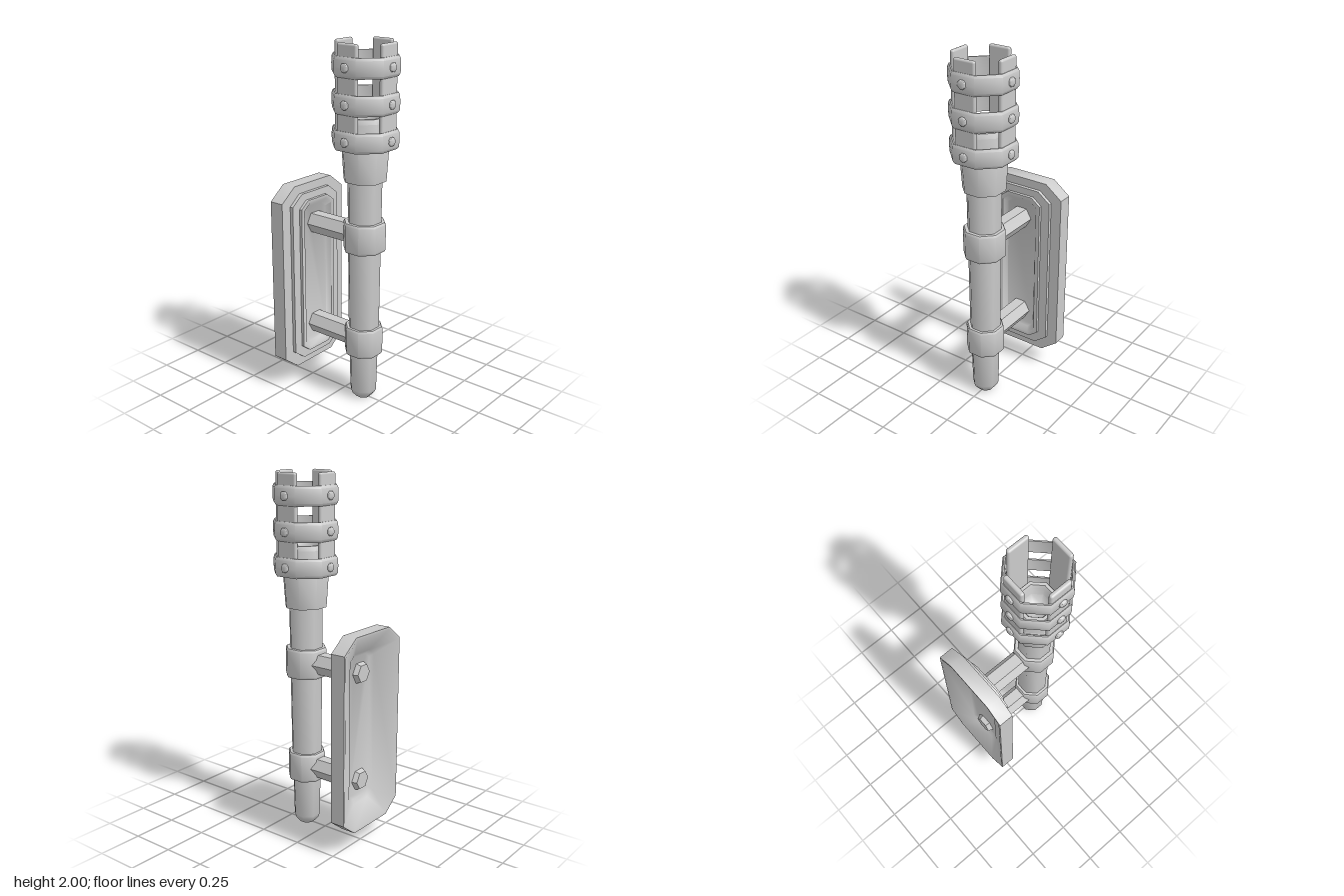
import * as THREE from 'three';
import { toCreasedNormals } from 'three/addons/utils/BufferGeometryUtils.js';
import { RoundedBoxGeometry } from 'three/addons/geometries/RoundedBoxGeometry.js';

const material = new THREE.MeshStandardMaterial({ color: 0xcccccc, roughness: 0.8 });
const AXIS_Z = 0.134; // torch axis
const PLATE_Y = 0.66; // centre height of the wall plate

function part(name, geometry, parent) {
  const mesh = new THREE.Mesh(geometry, material);
  mesh.name = name;
  parent.add(mesh);
  return mesh;
}

// Lathe with flats facing the axes; radii are measured to the flats.
function facetedLathe(profile, sides = 8) {
  const k = 1 / Math.cos(Math.PI / sides);
  const points = profile.map(([r, y]) => new THREE.Vector2(r * k, y));
  return toCreasedNormals(new THREE.LatheGeometry(points, sides, Math.PI / sides), 0.85);
}

// Skin through chamfered rectangles [halfWidth, halfHeight, z], capped at both ends.
function loftChamferedRects(sections) {
  const positions = [], index = [], n = 8;
  for (const [w, h, z] of sections) {
    const a = w * 0.6, b = h - w * 0.31;
    const ring = [[w, -b], [w, b], [a, h], [-a, h], [-w, b], [-w, -b], [-a, -h], [a, -h]];
    for (const [x, y] of ring) positions.push(x, y, z);
  }
  for (let s = 0; s < sections.length - 1; s++) {
    for (let i = 0; i < n; i++) {
      const p = s * n + i, q = s * n + (i + 1) % n;
      index.push(p, q, q + n, p, q + n, p + n);
    }
  }
  const last = (sections.length - 1) * n;
  for (let i = 1; i < n - 1; i++) {
    index.push(0, i + 1, i, last, last + i, last + i + 1);
  }
  const geometry = new THREE.BufferGeometry();
  geometry.setAttribute('position', new THREE.Float32BufferAttribute(positions, 3));
  geometry.setIndex(index);
  return toCreasedNormals(geometry, 0.85);
}

function createTorch() {
  const torch = new THREE.Group();
  torch.name = 'torch';
  torch.position.z = AXIS_Z;

  part('handle', facetedLathe([
    [0, 0], [0.04, 0], [0.064, 0.03], [0.07, 0.05], [0.075, 0.28], [0.08, 0.44], [0.088, 1.3],
  ]), torch);

  // Cup with a hollow, rounded mouth
  part('cup', facetedLathe([
    [0, 1.28], [0.108, 1.28], [0.119, 1.46], [0.11, 1.48], [0.11, 1.595], [0.1, 1.62],
    [0.084, 1.62], [0.075, 1.6], [0.072, 1.54], [0.045, 1.5], [0, 1.49],
  ]), torch);

  // Cage rings; the lowest one closes in against the cup
  [1.51, 1.698, 1.883].forEach((y, level) => {
    const inner = level === 0 ? 0.108 : 0.15;
    const ring = part('cageRing', facetedLathe([
      [inner, -0.052], [0.157, -0.052], [0.166, -0.038], [0.168, 0], [0.166, 0.038], [0.159, 0.052],
      [0.152, 0.052], [0.15, -0.03], [inner, -0.04], [inner, -0.052],
    ]), torch);
    ring.position.y = y;
  });

  // Four upright slats, each riveted to every ring
  for (let i = 0; i < 4; i++) {
    const side = new THREE.Group();
    side.name = 'cageSide';
    side.rotation.y = i * Math.PI / 2;
    torch.add(side);
    const slat = part('slat', new RoundedBoxGeometry(0.126, 0.53, 0.025, 2, 0.011), side);
    slat.position.set(0, 1.735, 0.144);
    for (const y of [1.51, 1.698, 1.883]) {
      const rivet = part('rivet', facetedLathe([
        [0.022, 0], [0.022, 0.021], [0.018, 0.025], [0, 0.025],
      ]), side);
      rivet.position.set(0, y, 0.155);
      rivet.rotation.x = Math.PI / 2;
    }
  }
  return torch;
}

function createBracket() {
  const bracket = new THREE.Group();
  bracket.name = 'wallBracket';

  // Hollow-backed plate with stepped front and a sunken panel
  const plate = part('wallPlate', loftChamferedRects([
    [0.085, 0.405, -0.232], [0.105, 0.425, -0.248], [0.235, 0.53, -0.317],
    [0.247, 0.543, -0.317], [0.247, 0.543, -0.233],
    [0.185, 0.495, -0.233], [0.185, 0.495, -0.213],
    [0.133, 0.455, -0.213], [0.133, 0.455, -0.196],
    [0.11, 0.435, -0.196], [0.09, 0.41, -0.22],
  ]), bracket);
  plate.position.y = PLATE_Y;

  // Collars with hexagonal arms running through the plate
  for (const [y, radius] of [[0.36, 0.1], [0.971, 0.109]]) {
    const collar = part('collar', facetedLathe([
      [0.07, -0.082], [radius - 0.006, -0.082], [radius, -0.07], [radius, 0.07],
      [radius - 0.006, 0.082], [0.07, 0.082],
    ]), bracket);
    collar.position.set(0, y, AXIS_Z);

    const arm = part('arm', toCreasedNormals(
      new THREE.CylinderGeometry(0.063, 0.063, 0.29, 6, 1, false, Math.PI / 2), 0.85), bracket);
    arm.rotation.x = Math.PI / 2;
    arm.position.set(0, y, -0.085);

    const bolt = part('boltHead', toCreasedNormals(
      new THREE.CylinderGeometry(0.063, 0.052, 0.03, 6, 1, false, Math.PI / 2), 0.85), bracket);
    bolt.rotation.x = Math.PI / 2;
    bolt.position.set(0, y, -0.245);
  }
  return bracket;
}

export function createModel() {
  const model = new THREE.Group();
  model.name = 'wallTorch';
  model.add(createTorch(), createBracket());
  return model;
}
